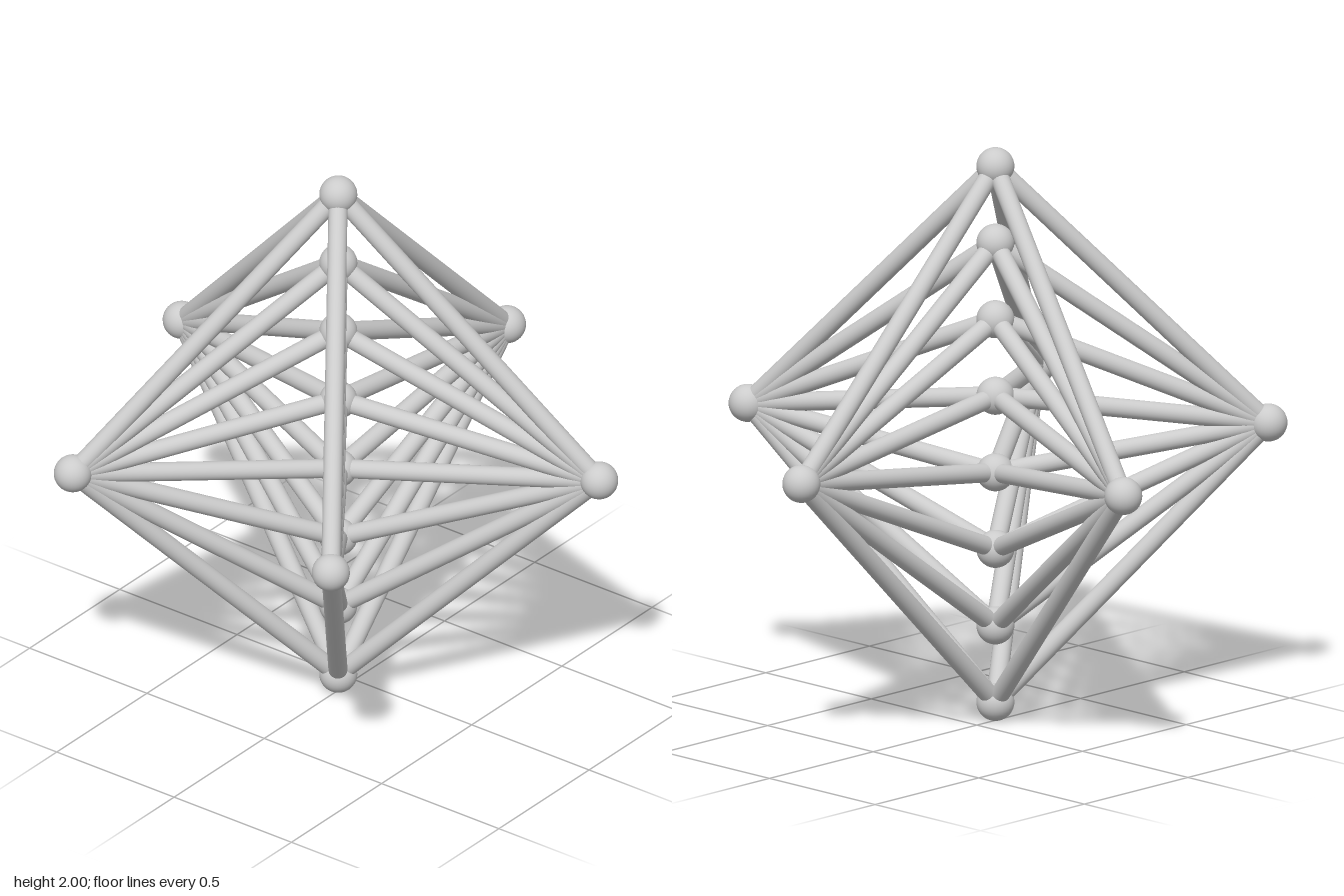
import * as THREE from 'three';

const BALL_R = 0.0645;
const ROD_R = 0.0325;
const REACH = 1 - BALL_R;              // half height and ring radius
const AXIS_X = -REACH * (1 - Math.cos(Math.PI / 5)) / 2;
const AXIS_COUNT = 8;
const RING_COUNT = 5;

export function createModel() {
  const model = new THREE.Group();
  const material = new THREE.MeshStandardMaterial({ color: 0xcccccc });
  const ballGeometry = new THREE.SphereGeometry(BALL_R, 32, 20);
  const up = new THREE.Vector3(0, 1, 0);

  const addBall = (name, position) => {
    const ball = new THREE.Mesh(ballGeometry, material);
    ball.name = name;
    ball.position.copy(position);
    model.add(ball);
  };

  // Straight rod joining two ball centres
  const addRod = (name, a, b) => {
    const dir = b.clone().sub(a);
    const geometry = new THREE.CylinderGeometry(ROD_R, ROD_R, dir.length(), 24);
    const rod = new THREE.Mesh(geometry, material);
    rod.name = name;
    rod.position.copy(a).add(b).multiplyScalar(0.5);
    rod.quaternion.setFromUnitVectors(up, dir.normalize());
    model.add(rod);
  };

  // Vertical column of balls
  const column = Array.from({ length: AXIS_COUNT }, (_, i) =>
    new THREE.Vector3(AXIS_X, 1 - REACH + (2 * REACH * i) / (AXIS_COUNT - 1), 0));

  // Horizontal ring of balls at mid height
  const ring = Array.from({ length: RING_COUNT }, (_, i) => {
    const angle = (i * 2 * Math.PI) / RING_COUNT;
    return new THREE.Vector3(AXIS_X + REACH * Math.cos(angle), 1, REACH * Math.sin(angle));
  });

  column.forEach((p, i) => addBall(`columnBall${i + 1}`, p));
  ring.forEach((p, i) => addBall(`ringBall${i + 1}`, p));

  // Every ring ball is joined to every column ball
  ring.forEach((r, i) => column.forEach((c, j) => addRod(`rod${i + 1}_${j + 1}`, c, r)));

  return model;
}
